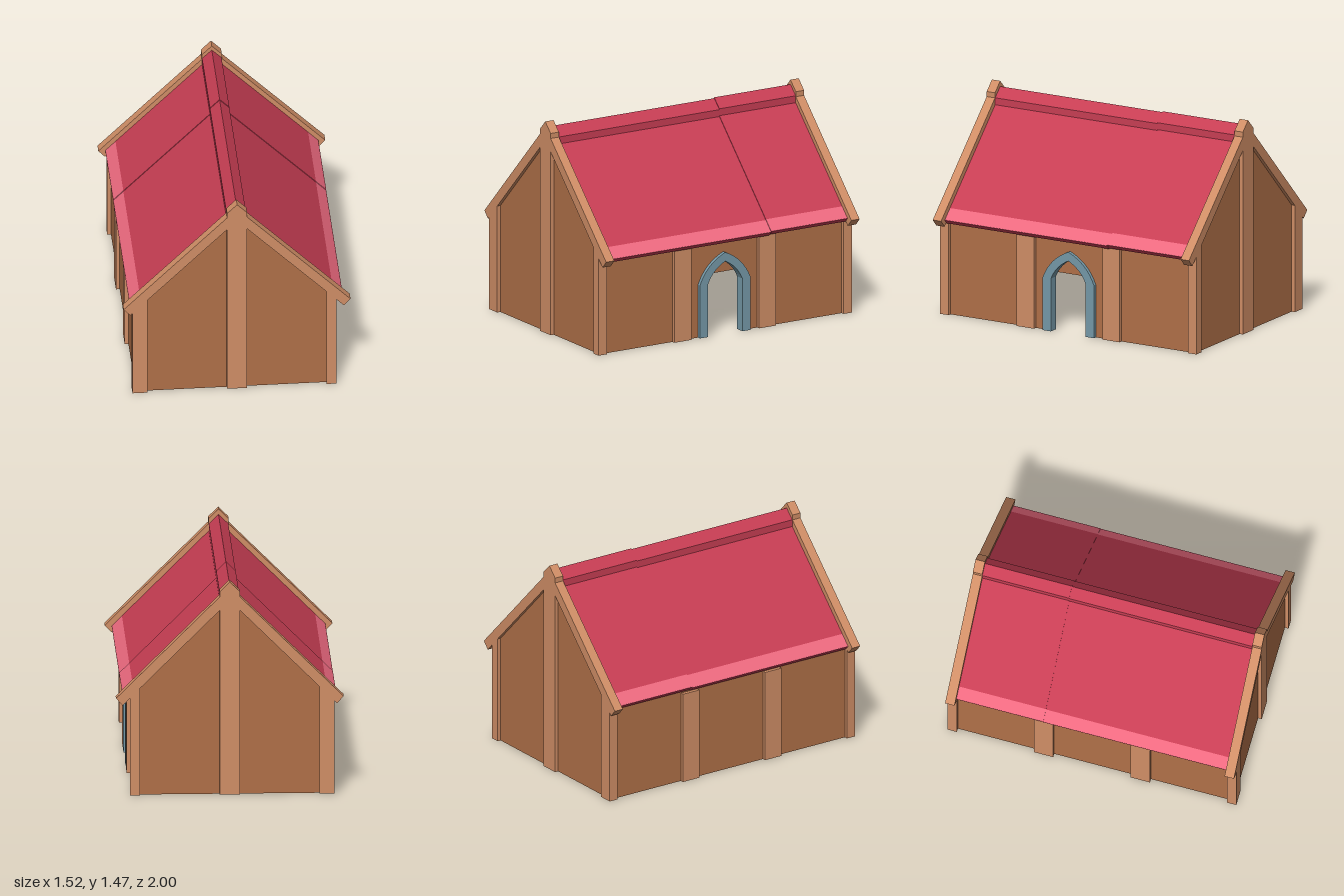
import * as THREE from 'three';

const paint = (color) => new THREE.MeshStandardMaterial({ color, flatShading: true });

export function createModel() {
  const house = new THREE.Group();
  house.name = 'timberHouse';
  const wallMat = paint(0xb07048), timberMat = paint(0xd08e66), roofMat = paint(0xc83e54);
  const eaveMat = paint(0xee6a80), stoneMat = paint(0x7599a8);

  const add = (name, geometry, material) => {
    const mesh = new THREE.Mesh(geometry, material);
    mesh.name = name;
    house.add(mesh);
    return mesh;
  };
  // Box given by its minimum and maximum on each axis
  const box = (name, material, x0, x1, y0, y1, z0, z1) =>
    add(name, new THREE.BoxGeometry(x1 - x0, y1 - y0, z1 - z0), material)
      .position.set((x0 + x1) / 2, (y0 + y1) / 2, (z0 + z1) / 2);
  // Outline in x, y swept from z0 to z1
  const sweep = (name, material, points, z0, z1) => {
    const shape = new THREE.Shape(points.map(([x, y]) => new THREE.Vector2(x, y)));
    const geometry = new THREE.ExtrudeGeometry(shape, { depth: z1 - z0, bevelEnabled: false });
    add(name, geometry, material).position.z = z0;
  };
  // Outline in z, y (symmetric in z) swept from x0 to x1
  const sweepSide = (name, material, shape, x0, x1) => {
    const geometry = new THREE.ExtrudeGeometry(shape, { depth: x1 - x0, bevelEnabled: false, curveSegments: 8 });
    add(name, geometry.rotateY(Math.PI / 2), material).position.x = x0;
  };
  // Pointed arch line from the left foot over the apex to the right foot
  const traceArch = (path, w, spring, cw, cy, apex) => {
    path.lineTo(-w, 0);
    path.lineTo(-w, spring);
    path.quadraticCurveTo(-cw, cy, 0, apex);
    path.quadraticCurveTo(cw, cy, w, spring);
    path.lineTo(w, 0);
  };

  // Gable ends: wall, barge boards, king post and corner posts
  for (const end of [1, -1]) {
    const span = (a, b) => (end > 0 ? [a, b] : [-b, -a]);
    const face = span(0.935, 1);
    sweep('gableWall', wallMat,
      [[-0.665, 0], [0.633, 0], [0.633, 0.73], [0, 1.36], [-0.665, 0.695]], ...span(0.955, 0.975));
    sweep('bargeBoards', timberMat,
      [[-0.76, 0.67], [-0.715, 0.622], [0, 1.337], [0.715, 0.622], [0.76, 0.67], [0, 1.43]], ...face);
    sweep('kingPost', timberMat,
      [[-0.067, 0], [0.067, 0], [0.067, 1.398], [0, 1.465], [-0.067, 1.398]], ...face);
    sweep('leftCornerPost', timberMat, [[0.6, 0], [0.665, 0], [0.665, 0.69], [0.6, 0.75]], ...face);
    sweep('rightCornerPost', timberMat, [[-0.7, 0], [-0.6, 0], [-0.6, 0.75], [-0.7, 0.65]], ...face);
  }

  // Door side wall with a pointed opening, and the plain wall opposite
  const doorWall = new THREE.Shape();
  doorWall.moveTo(-0.96, 0);
  traceArch(doorWall, 0.17, 0.365, 0.125, 0.475, 0.535);
  doorWall.lineTo(0.96, 0);
  doorWall.lineTo(0.96, 0.68);
  doorWall.lineTo(-0.96, 0.68);
  sweepSide('doorWall', wallMat, doorWall, 0.62, 0.64);
  box('plainWall', wallMat, -0.675, -0.655, 0, 0.655, -0.96, 0.96);

  // Stone door surround
  const arch = new THREE.Shape();
  arch.moveTo(0.135, 0);
  arch.lineTo(0.135, 0.365);
  arch.quadraticCurveTo(0.1, 0.455, 0, 0.505);
  arch.quadraticCurveTo(-0.1, 0.455, -0.135, 0.365);
  arch.lineTo(-0.135, 0);
  traceArch(arch, 0.2, 0.365, 0.145, 0.505, 0.567);
  sweepSide('doorArch', stoneMat, arch, 0.6, 0.665);

  // Intermediate posts on both long sides
  for (const z of [-0.335, 0.335]) {
    box('doorSidePost', timberMat, 0.6, 0.665, 0, 0.662, z - 0.067, z + 0.067);
    box('plainSidePost', timberMat, -0.7, -0.633, 0, 0.632, z - 0.067, z + 0.067);
  }

  // Roof and ceiling in two bays, the rear one a touch higher
  for (const [z0, z1, lift] of [[-0.333, 0.935, 0], [-0.935, -0.333, 0.006]]) {
    for (const side of [1, -1]) {
      const slope = (name, material, points) => {
        const placed = points.map(([x, y]) => [x * side, y + lift]);
        sweep(name, material, placed, z0, z1);
      };
      slope('roofSlope', roofMat, [[0, 1.32], [0, 1.38], [0.645, 0.735], [0.62, 0.71]]);
      slope('eaveBand', eaveMat, [[0.62, 0.71], [0.645, 0.735], [0.712, 0.668], [0.687, 0.643]]);
      // Dark red underside edge of the eave
      slope('eaveEdge', roofMat, [[0.613, 0.713], [0.62, 0.71], [0.6875, 0.6425], [0.7125, 0.6675], [0.7135, 0.6665], [0.685, 0.639]]);
    }
    sweep('ridgeCap', roofMat,
      [[-0.065, 1.3], [0.065, 1.3], [0.065, 1.363], [0, 1.427], [-0.065, 1.363]]
        .map(([x, y]) => [x, y + lift]), z0, z1);
    box('ceiling', wallMat, -0.66, 0.625, 0.638 + lift * 2, 0.66 + lift, z0, z1);
  }
  return house;
}
